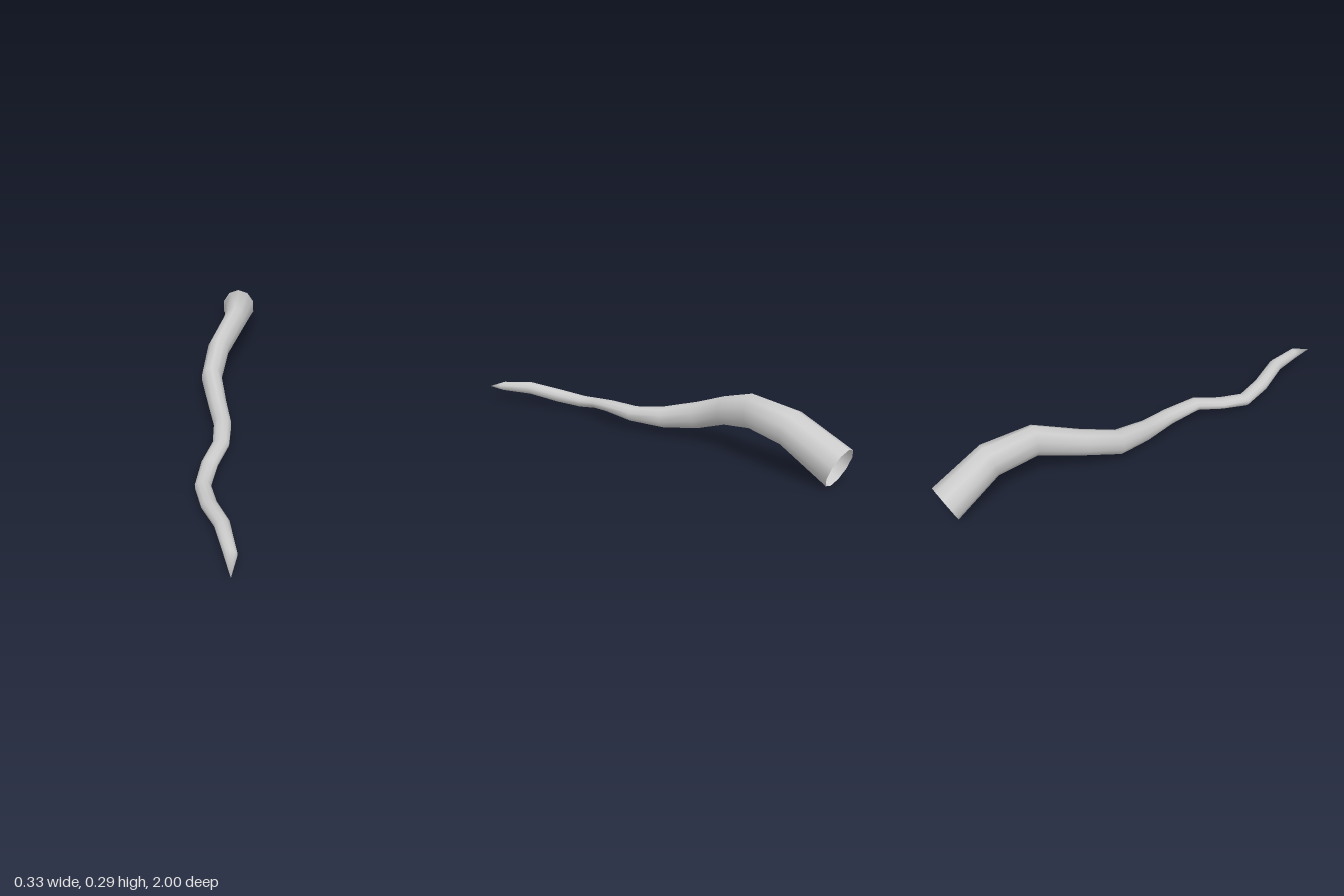
import * as THREE from 'three';

const SIDES = 10;

// Cross-sections from the open base to the thin end:
// centre x, y, z, half width, half height, z lean across the width, z lean up the height
const RINGS = [
  [0.087, 0.079, -0.967, 0.077, 0.079, 0.005, -0.033],
  [0.081, 0.195, -0.754, 0.067, 0.073, 0.008, -0.021],
  [0.045, 0.219, -0.56, 0.047, 0.073, 0.012, 0],
  [-0.04, 0.169, -0.38, 0.046, 0.062, 0.008, 0],
  [-0.076, 0.112, -0.225, 0.044, 0.059, 0, 0.003],
  [-0.055, 0.077, -0.058, 0.039, 0.047, -0.003, 0.006],
  [-0.038, 0.071, 0.09, 0.037, 0.035, 0.004, -0.005],
  [-0.051, 0.078, 0.24, 0.034, 0.026, 0.006, 0],
  [-0.102, 0.059, 0.35, 0.033, 0.023, 0.008, 0],
  [-0.133, 0.04, 0.47, 0.032, 0.027, 0, 0],
  [-0.111, 0.052, 0.6, 0.031, 0.031, -0.006, 0],
  [-0.066, 0.077, 0.74, 0.029, 0.029, -0.008, 0.004],
  [-0.042, 0.068, 0.89, 0.027, 0.021, 0.012, 0.006],
];
const TIP = [-0.044, 0.05, 1];

export function createModel() {
  const positions = [];
  const indices = [];

  // Rings with a corner at top and bottom
  for (const [cx, cy, cz, halfW, halfH, leanX, leanY] of RINGS) {
    const rx = halfW / Math.cos(Math.PI / SIDES);
    for (let j = 0; j < SIDES; j++) {
      const a = Math.PI / 2 + (j / SIDES) * Math.PI * 2;
      const c = Math.cos(a), s = Math.sin(a);
      positions.push(cx + rx * c, cy + halfH * s, cz + leanX * c + leanY * s);
    }
  }
  positions.push(...TIP);
  const tip = RINGS.length * SIDES;

  // Skin between rings, closing to the point
  for (let i = 0; i < RINGS.length; i++) {
    for (let j = 0; j < SIDES; j++) {
      const a = i * SIDES + j;
      const b = i * SIDES + ((j + 1) % SIDES);
      if (i === RINGS.length - 1) indices.push(a, b, tip);
      else indices.push(a, b, a + SIDES, b, b + SIDES, a + SIDES);
    }
  }

  const geometry = new THREE.BufferGeometry();
  geometry.setAttribute('position', new THREE.Float32BufferAttribute(positions, 3));
  geometry.setIndex(indices);
  geometry.computeVertexNormals();

  // Hollow at the base, so both faces show
  const tentacle = new THREE.Mesh(
    geometry,
    new THREE.MeshStandardMaterial({ color: 0xcccccc, side: THREE.DoubleSide })
  );
  tentacle.name = 'taperedTentacle';

  const group = new THREE.Group();
  group.name = 'tentacle';
  group.add(tentacle);
  return group;
}
